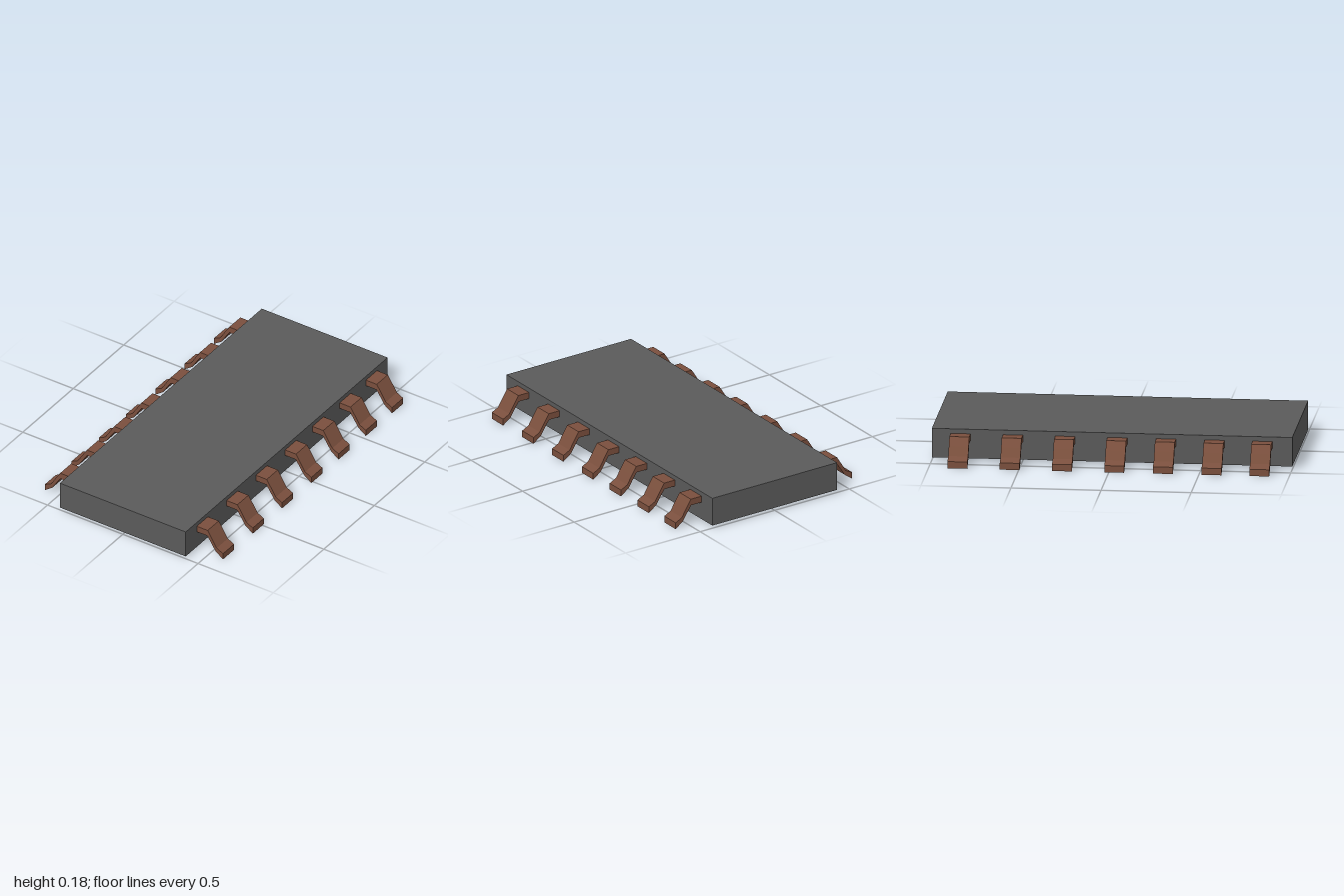
import * as THREE from 'three';

// Gull-wing pin: [x, topY, x of underside, bottomY] from inside the body out to the toe
const PIN_PROFILE = [
  [0.40, 0.155, 0.40, 0.118],
  [0.49, 0.155, 0.488, 0.118],
  [0.52, 0.108, 0.515, 0.078],
  [0.55, 0.059, 0.542, 0.036],
  [0.592, 0.038, 0.592, 0],
];
const PIN_HALF_WIDTH = 0.055;

// Four-sided sleeve through the profile: open at the body end, capped at the toe
function pinGeometry() {
  const w = PIN_HALF_WIDTH, positions = [], index = [];
  for (const [xt, yt, xb, yb] of PIN_PROFILE) {
    positions.push(xt, yt, w, xt, yt, -w, xb, yb, -w, xb, yb, w);
  }
  for (let i = 0; i < PIN_PROFILE.length - 1; i++) {
    for (let k = 0; k < 4; k++) {
      const a = i * 4 + k, b = i * 4 + (k + 1) % 4;
      index.push(a, a + 4, b + 4, a, b + 4, b);
    }
  }
  const e = (PIN_PROFILE.length - 1) * 4;
  index.push(e, e + 2, e + 1, e, e + 3, e + 2);
  const geometry = new THREE.BufferGeometry();
  geometry.setAttribute('position', new THREE.Float32BufferAttribute(positions, 3));
  geometry.setIndex(index);
  const flat = geometry.toNonIndexed();
  flat.computeVertexNormals();
  return flat;
}

// Hollow shell: a box without its underside
function shellGeometry(width, height, depth) {
  const box = new THREE.BoxGeometry(width, height, depth);
  const kept = Array.from(box.index.array).filter((_, i) => i < 18 || i >= 24);
  box.setIndex(kept);
  box.clearGroups();
  return box;
}

export function createModel() {
  const model = new THREE.Group();
  model.name = 'chipPackage';

  const bodyMaterial = new THREE.MeshStandardMaterial({ color: 0x5a5a5a, side: THREE.DoubleSide, flatShading: true });
  const pinMaterial = new THREE.MeshStandardMaterial({ color: 0x7a4f3d, side: THREE.DoubleSide, flatShading: true });

  // Body
  const body = new THREE.Mesh(shellGeometry(0.836, 0.165, 2), bodyMaterial);
  body.name = 'body';
  body.position.y = 0.0985;
  model.add(body);

  // Two rows of pins, slightly uneven in spacing
  const rows = [
    { name: 'leftPins', turn: 0, z: [-0.84, -0.58, -0.31, -0.04, 0.25, 0.54, 0.835] },
    { name: 'rightPins', turn: Math.PI, z: [-0.84, -0.55, -0.26, 0.03, 0.30, 0.57, 0.835] },
  ];
  const geometry = pinGeometry();
  for (const row of rows) {
    const group = new THREE.Group();
    group.name = row.name;
    row.z.forEach((z, i) => {
      const pin = new THREE.Mesh(geometry, pinMaterial);
      pin.name = `pin${i + 1}`;
      pin.position.z = z;
      pin.rotation.y = row.turn;
      group.add(pin);
    });
    model.add(group);
  }
  return model;
}
